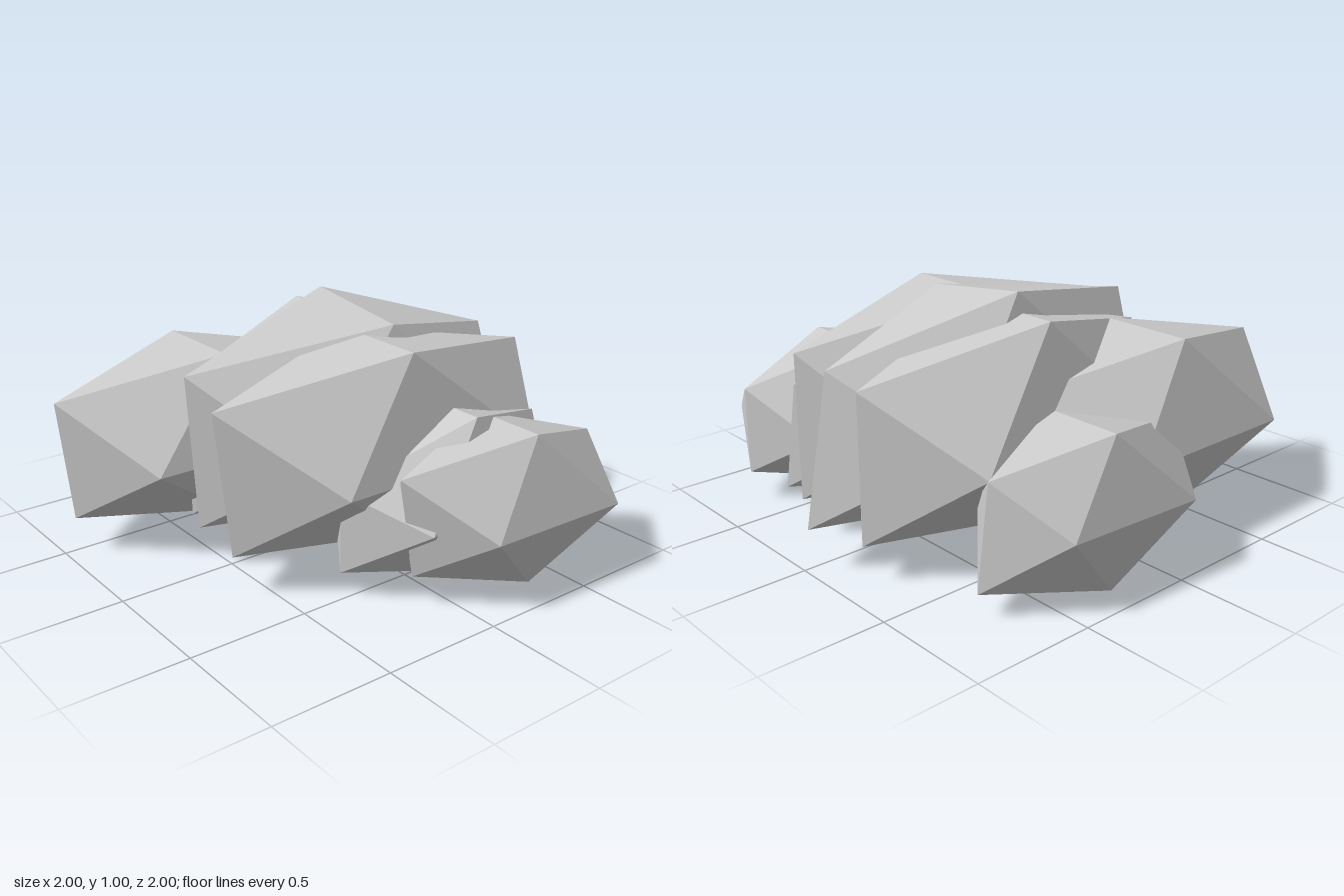
import * as THREE from 'three';

const RIDGE = 0.58; // ridge width against shoulder width
const SHOULDER = 0.62; // shoulder depth against tip depth

// A boulder is an icosahedron whose corners are moved by rule: those on the ridge and
// keel, those on the front and back tips, and those on the shoulders.
//   width: half width at the shoulders; top, keel, mid, tip, foot: heights
//   taper: rear shoulder width; lean, pitch: tilt sideways and lengthways
//   shift: ridge offset in x; slide: shoulder offset in z
//   undercut, heel: how far the lower tip sits behind the upper one, front and back
function boulder(material, {
  name, x, z, width, front, back, top, keel, mid, tip, foot,
  taper = 1, lean = 0, pitch = 0, shift = 0, slide = 0, undercut = 0, heel = 0,
}) {
  const geometry = new THREE.IcosahedronGeometry(1, 0);
  const p = geometry.attributes.position;
  for (let i = 0; i < p.count; i++) {
    const [sx, sy, sz] = [p.getX(i), p.getY(i), p.getZ(i)].map((v) => (Math.abs(v) < 0.01 ? 0 : Math.sign(v)));
    const end = sz > 0 ? front : back;
    if (sz === 0) { // ridge and keel
      const height = sy > 0 ? top + lean * sx : keel;
      p.setXYZ(i, x + shift + sx * width * RIDGE, height, z);
    } else if (sx === 0) { // front and back tips
      const setback = sz > 0 ? undercut : heel;
      if (sy > 0) p.setXYZ(i, x, tip + pitch * sz, end);
      else p.setXYZ(i, x, foot, end - setback);
    } else { // shoulders
      const reach = sz > 0 ? width : width * taper;
      p.setXYZ(i, x + sx * reach, mid, z + slide + (end - z) * SHOULDER);
    }
  }
  geometry.computeVertexNormals();
  const mesh = new THREE.Mesh(geometry, material);
  mesh.name = name;
  return mesh;
}

export function createModel() {
  const group = new THREE.Group();
  group.name = 'boulderCluster';
  const stone = new THREE.MeshStandardMaterial({ color: 0xcccccc, flatShading: true });
  stone.name = 'greyStone';
  const add = (spec) => group.add(boulder(stone, spec));

  // Large boulder standing forward
  add({ name: 'frontBoulder', x: -0.48, z: 0.33, width: 0.368, front: 1, back: -0.33,
    top: 0.8, keel: 0.1, mid: 0.405, tip: 0.67, foot: 0.155, undercut: 0.05 });

  // Tall middle row
  add({ name: 'centreBoulder', x: -0.04, z: -0.18, width: 0.42, front: 0.66, back: -0.89,
    top: 0.97, keel: 0.17, mid: 0.5, tip: 0.805, foot: 0.185,
    lean: -0.03, pitch: 0.025, shift: -0.01, undercut: 0.04, heel: 0.11 });
  add({ name: 'centreRightBoulder', x: -0.23, z: -0.18, width: 0.38, front: 0.54, back: -0.89,
    top: 0.92, keel: 0.145, mid: 0.46, tip: 0.75, foot: 0.15, taper: 1.05, shift: -0.02 });
  add({ name: 'centreLeftBoulder', x: 0.23, z: -0.05, width: 0.375, front: 0.71, back: -0.85,
    top: 0.915, keel: 0.16, mid: 0.46, tip: 0.775, foot: 0.17,
    shift: 0.015, slide: -0.06, undercut: 0.07 });

  // Low outer boulders
  add({ name: 'innerLeftBoulder', x: 0.49, z: -0.2, width: 0.305, front: 0.32, back: -0.7,
    top: 0.68, keel: 0.03, mid: 0.32, tip: 0.5, foot: 0.11, taper: 0.95, pitch: -0.05, heel: 0.06 });
  add({ name: 'outerLeftBoulder', x: 0.7, z: -0.33, width: 0.28, front: 0.21, back: -0.81,
    top: 0.64, keel: 0.015, mid: 0.31, tip: 0.52, foot: 0.125,
    taper: 1.07, pitch: 0.02, slide: -0.04, undercut: 0.07 });
  add({ name: 'outerRightBoulder', x: -0.71, z: -0.25, width: 0.29, front: 0.25, back: -0.7,
    top: 0.615, keel: 0, mid: 0.31, tip: 0.51, foot: 0.1, taper: 0.87, undercut: -0.03, heel: 0.05 });
  return group;
}
